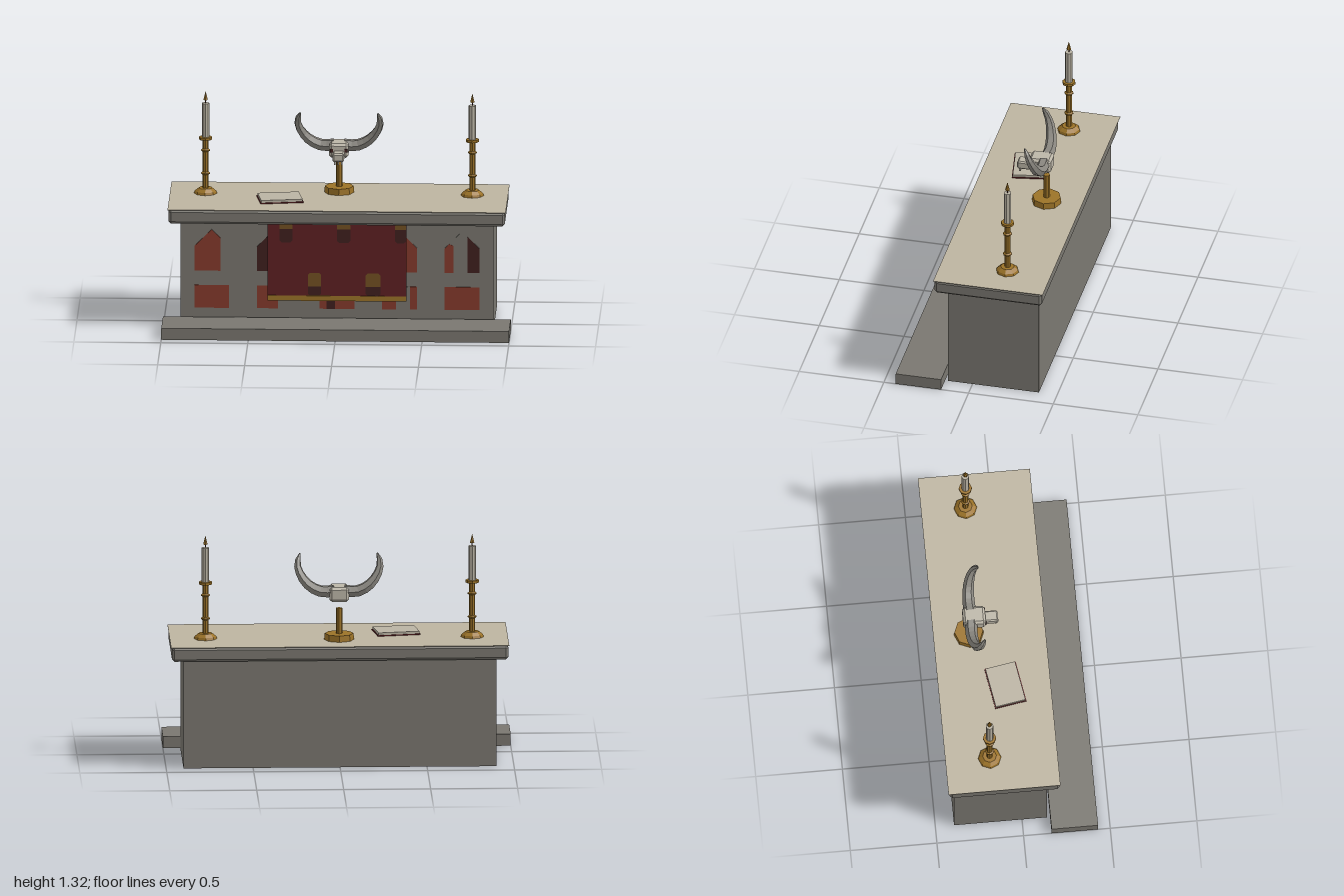
import * as THREE from 'three';
import { ConvexGeometry } from 'three/addons/geometries/ConvexGeometry.js';

const mat = (name, color, side = THREE.FrontSide) => {
  const m = new THREE.MeshStandardMaterial({ color, flatShading: true, side });
  m.name = name;
  return m;
};

export function createModel() {
  const stone = mat('stone', 0x7a7770);
  const linen = mat('linen', 0xbdb4a0, THREE.DoubleSide);
  const red = mat('red cloth', 0x5e2022);
  const maroon = mat('dark maroon', 0x40201f);
  const glass = mat('orange red glass', 0x863b2c);
  const gold = mat('gold', 0x9c7328);
  const dullGold = mat('dull gold', 0x735022);
  const wax = mat('wax', 0xbab3a3);
  const bone = mat('bone', 0xbcb6a8);
  const horn = mat('horn', 0x8a8780);

  const root = new THREE.Group();
  root.name = 'altar';
  const add = (name, geometry, material, x = 0, y = 0, z = 0, parent = root) => {
    const m = new THREE.Mesh(geometry, material);
    m.name = name;
    m.position.set(x, y, z);
    parent.add(m);
    return m;
  };
  // Box given by its limits
  const box = (name, material, x0, x1, y0, y1, z0, z1, parent = root) =>
    add(name, new THREE.BoxGeometry(x1 - x0, y1 - y0, z1 - z0), material,
      (x0 + x1) / 2, (y0 + y1) / 2, (z0 + z1) / 2, parent);
  // Box with cut edges
  const chamferBox = (w, h, d, b) => {
    const pts = [];
    for (const sx of [-1, 1]) for (const sy of [-1, 1]) for (const sz of [-1, 1])
      for (let k = 0; k < 3; k++)
        pts.push(new THREE.Vector3(
          sx * (w / 2 - (k === 0 ? 0 : b)),
          sy * (h / 2 - (k === 1 ? 0 : b)),
          sz * (d / 2 - (k === 2 ? 0 : b))));
    return new ConvexGeometry(pts);
  };
  // Thin upright plate cut from a polygon, facing forward
  const plate = (name, material, points, z, depth = 0.003, x = 0) => {
    const shape = new THREE.Shape(points.map(p => new THREE.Vector2(p[0], p[1])));
    return add(name, new THREE.ExtrudeGeometry(shape, { depth, bevelEnabled: false }), material, x, 0, z);
  };
  const rect = (x0, x1, y0, y1) => [[x0, y0], [x1, y0], [x1, y1], [x0, y1]];

  // Stone block, step, slab and linen cover
  box('body', stone, -0.9, 0.9, 0, 0.635, -0.392, 0.145);
  box('step', stone, -1, 1, 0, 0.068, 0.162, 0.43);
  add('tableSlab', chamferBox(1.934, 0.083, 0.634, 0.014), stone, 0, 0.672, -0.105);
  box('linenCover', linen, -0.972, 0.972, 0.713, 0.716, -0.43, 0.216);

  // Pointed windows with glass panes
  const arch = [[-0.1, 0.12], [0.1, 0.12], [0.1, 0.485], [0, 0.585], [-0.1, 0.485]];
  const leftPane = [[-0.1, 0.34], [0.05, 0.34], [0.05, 0.535], [0, 0.585], [-0.1, 0.485]];
  const leftStrip = [[-0.1, 0.34], [-0.04, 0.34], [-0.04, 0.545], [-0.1, 0.485]];
  const narrowStrip = [[-0.1, 0.34], [-0.05, 0.34], [-0.05, 0.50], [-0.075, 0.51], [-0.1, 0.485]];
  const rightStrip = [[0.03, 0.34], [0.1, 0.34], [0.1, 0.485], [0.03, 0.555]];
  const low = (x0, x1) => rect(x0, x1, 0.12, 0.255);
  const windows = [
    [-0.72, [[leftPane, glass], [low(-0.1, 0.1), glass]]],
    [-0.36, [[leftStrip, maroon], [low(-0.1, 0.02), glass]]],
    [0, [[low(-0.1, -0.06), glass], [low(-0.06, -0.01), maroon], [low(-0.01, 0.1), glass]]],
    [0.36, [[rightStrip, glass], [low(-0.1, -0.02), glass], [low(-0.02, 0.05), stone], [low(0.06, 0.1), glass]]],
    [0.72, [[narrowStrip, glass], [rightStrip, maroon], [low(-0.1, 0.1), glass]]],
  ];
  for (const [x, panes] of windows) {
    plate('windowFrame', stone, arch, 0.145, 0.004, x);
    for (const [pts, m] of panes) plate('windowPane', m, pts, 0.149, 0.003, x);
  }

  // Hanging cloth with fringe and woven emblems
  box('frontCloth', red, -0.4, 0.4, 0.195, 0.635, 0.153, 0.161);
  box('fringe', gold, -0.4, 0.4, 0.17, 0.2, 0.152, 0.166);
  const emblem = (x0, x1, y0, y1, yMid) => {
    const c = 0.012;
    plate('emblemTop', dullGold, [[x0, yMid], [x1, yMid], [x1, y1 - c], [x1 - c, y1], [x0 + c, y1], [x0, y1 - c]], 0.161, 0.002);
    plate('emblemShade', maroon, [[x0, y0 + c], [x0 + c, y0], [x1 - c, y0], [x1, y0 + c], [x1, yMid], [x0, yMid]], 0.161, 0.002);
  };
  for (const [a, b] of [[-0.33, -0.255], [0, 0.078], [0.335, 0.398]]) emblem(a, b, 0.515, 0.63, 0.595);
  for (const [a, b] of [[-0.167, -0.09], [0.166, 0.25]]) emblem(a, b, 0.2, 0.335, 0.255);

  // Candlesticks
  const lathe = pts => new THREE.LatheGeometry(pts.map(p => new THREE.Vector2(p[0], p[1])), 8);
  for (const side of [-1, 1]) {
    const g = new THREE.Group();
    g.name = side > 0 ? 'leftCandlestick' : 'rightCandlestick';
    g.position.set(side * 0.767, 0.715, -0.175);
    root.add(g);
    add('holder', lathe([[0, 0], [0.067, 0], [0.062, 0.015], [0.04, 0.033], [0.017, 0.033],
      [0.017, 0.11], [0.026, 0.116], [0.026, 0.122], [0.017, 0.128],
      [0.017, 0.247], [0.026, 0.253], [0.026, 0.259], [0.017, 0.265],
      [0.017, 0.316], [0.038, 0.32], [0.038, 0.335], [0, 0.335]]), gold, 0, 0, 0, g);
    add('candle', new THREE.CylinderGeometry(0.022, 0.022, 0.2, 8), wax, 0, 0.435, 0, g);
    add('wick', new THREE.CylinderGeometry(0.003, 0.003, 0.02, 5), maroon, 0, 0.545, 0, g);
    add('flame', new THREE.ConeGeometry(0.014, 0.052, 6), gold, 0, 0.58, 0, g);
  }

  // Closed book
  const book = new THREE.Group();
  book.name = 'book';
  book.position.set(-0.334, 0.716, -0.044);
  book.rotation.y = 0.165;
  root.add(book);
  box('bookCover', red, -0.125, 0.125, 0, 0.006, -0.093, 0.093, book);
  box('pages', wax, -0.12, 0.12, 0.006, 0.02, -0.088, 0.088, book);

  // Stand
  add('standBase', new THREE.CylinderGeometry(0.083, 0.086, 0.037, 8), gold, 0, 0.734, -0.225);
  add('standPost', new THREE.CylinderGeometry(0.019, 0.019, 0.15, 8), gold, 0, 0.826, -0.225);

  // Horned skull
  const skull = new THREE.Group();
  skull.name = 'skull';
  root.add(skull);
  add('cranium', chamferBox(0.11, 0.086, 0.13, 0.014), bone, 0, 0.983, -0.195, skull);
  add('snout', chamferBox(0.066, 0.05, 0.14, 0.008), bone, 0, 0.96, -0.127, skull);
  for (const x of [-0.02, 0, 0.02]) box('tooth', bone, x - 0.005, x + 0.005, 0.917, 0.938, -0.077, -0.067, skull);
  for (const x of [-1, 1]) box('eye', maroon, x * 0.042 - 0.008, x * 0.042 + 0.008, 0.975, 0.995, -0.132, -0.127, skull);

  // Tapered horns, narrowed ring by ring along a curve
  const hornPath = [[0.03, 1.0, -0.215], [0.1, 0.997, -0.218], [0.17, 1.03, -0.212],
    [0.22, 1.09, -0.195], [0.238, 1.15, -0.172], [0.222, 1.207, -0.148]];
  for (const side of [-1, 1]) {
    const curve = new THREE.CatmullRomCurve3(hornPath.map(p => new THREE.Vector3(side * p[0], p[1], p[2])));
    const rings = 9, sides = 6;
    const geo = new THREE.TubeGeometry(curve, rings, 1, sides);
    const pos = geo.attributes.position, v = new THREE.Vector3();
    for (let i = 0; i <= rings; i++) {
      const t = i / rings, c = curve.getPointAt(t);
      const r = i === rings ? 0.004 : 0.036 - 0.025 * t * t;
      for (let j = 0; j <= sides; j++) {
        const k = i * (sides + 1) + j;
        v.fromBufferAttribute(pos, k).sub(c).multiplyScalar(r).add(c);
        pos.setXYZ(k, v.x, v.y, v.z);
      }
    }
    geo.computeVertexNormals();
    add(side > 0 ? 'leftHorn' : 'rightHorn', geo, horn, 0, 0, 0, skull);
  }
  return root;
}
